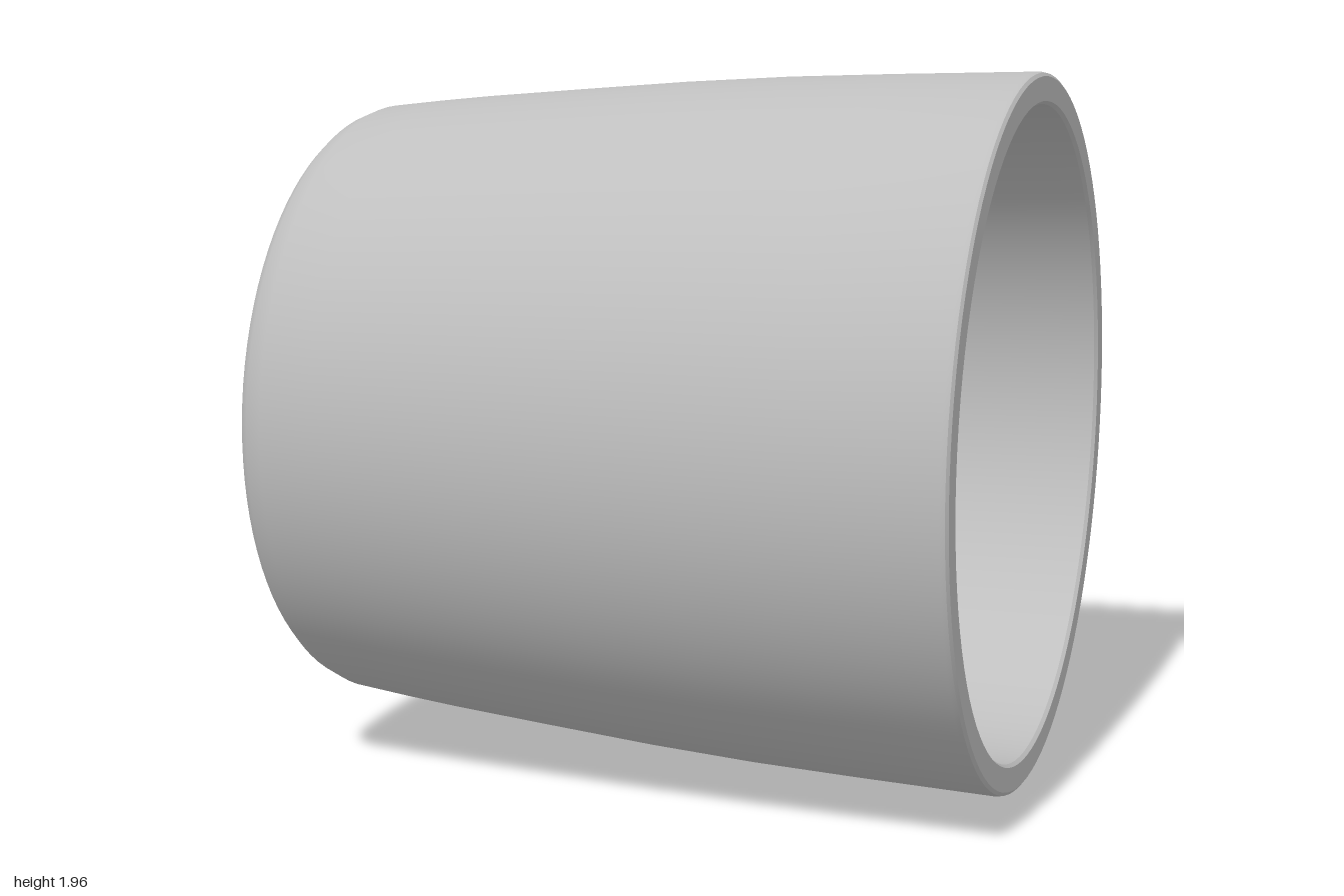
import * as THREE from 'three';
import { toCreasedNormals } from 'three/addons/utils/BufferGeometryUtils.js';

export function createModel() {
  const group = new THREE.Group();
  group.name = 'taperedSleeve';
  const grey = new THREE.MeshStandardMaterial({ color: 0xbfbfbf });
  grey.name = 'plain grey';

  // Each profile is a list of [position along the axis, radius]
  const addRing = (name, profile) => {
    const points = profile.map(([along, radius]) => new THREE.Vector2(radius, along));
    const geometry = toCreasedNormals(new THREE.LatheGeometry(points, 96), 0.6);
    geometry.rotateZ(-Math.PI / 2); // lay the axis along x
    geometry.translate(0, 0.978, 0);
    const mesh = new THREE.Mesh(geometry, grey);
    mesh.name = name;
    group.add(mesh);
  };

  // Narrow end face with its rounded shoulder, and the bulging outer wall
  addRing('outerShell', [
    [-1, 0.585], [-1, 0.74], [-0.992, 0.785], [-0.975, 0.815], [-0.95, 0.837], [-0.9, 0.857],
    [-0.75, 0.874], [-0.6, 0.889], [-0.3, 0.914], [0, 0.938], [0.3, 0.956], [0.6, 0.967],
    [0.98, 0.978], [0.993, 0.975], [1, 0.966],
  ]);

  // Flat rim around the wide opening
  addRing('openRim', [[1, 0.966], [1, 0.9], [0.99, 0.892]]);

  // Inner wall tapering to a flat shelf
  addRing('innerWall', [
    [0.99, 0.892], [0.6, 0.882], [0.3, 0.871], [0, 0.853], [-0.3, 0.829], [-0.6, 0.802],
    [-0.92, 0.762], [-0.92, 0.585],
  ]);

  // Short bore through the narrow end
  addRing('endBore', [[-0.92, 0.585], [-1, 0.585]]);

  return group;
}
